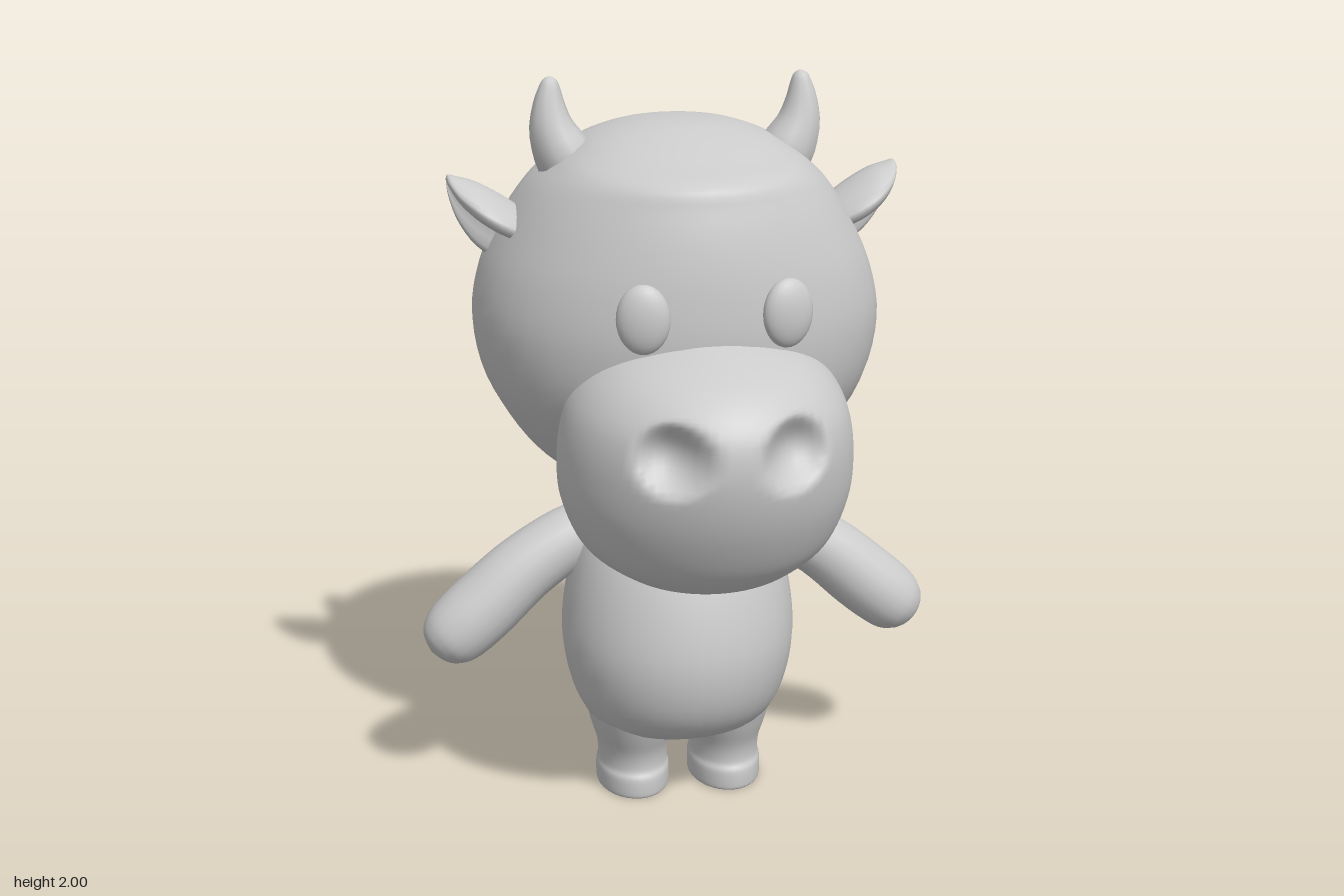
import * as THREE from 'three';

// Smoothly resample a list of equal-length number rows
function smooth(rows, count) {
  const curves = rows[0].map((_, k) =>
    new THREE.SplineCurve(rows.map((row, i) => new THREE.Vector2(i, row[k]))));
  return Array.from({ length: count + 1 }, (_, i) => curves.map((c) => c.getPoint(i / count).y));
}

// Closed skin over rings of points, with a fan at each end
function skin(rings) {
  const n = rings[0].length, pos = [], index = [];
  rings.forEach((ring) => ring.forEach((p) => pos.push(p.x, p.y, p.z)));
  for (let i = 0; i < rings.length - 1; i++) {
    for (let j = 0; j < n; j++) {
      const a = i * n + j, b = i * n + (j + 1) % n;
      index.push(a, b, b + n, a, b + n, a + n);
    }
  }
  [0, rings.length - 1].forEach((r, end) => {
    const mid = new THREE.Vector3();
    rings[r].forEach((p) => mid.addScaledVector(p, 1 / n));
    const c = pos.length / 3;
    pos.push(mid.x, mid.y, mid.z);
    for (let j = 0; j < n; j++) {
      const a = r * n + j, b = r * n + (j + 1) % n;
      if (end) index.push(a, b, c); else index.push(b, a, c);
    }
  });
  const g = new THREE.BufferGeometry();
  g.setAttribute('position', new THREE.Float32BufferAttribute(pos, 3));
  g.setIndex(index);
  g.computeVertexNormals();
  return g;
}

// Upright loft; rows are [y, half width, front z, back z, z of widest point]
function loft(rows, { cx = 0, sides = 32, steps = 30, square = 1, dent } = {}) {
  return skin(smooth(rows, steps).map(([y, w, zf, zb, zc]) =>
    Array.from({ length: sides }, (_, j) => {
      const a = (j / sides) * Math.PI * 2, c = Math.cos(a);
      const z = c > 0 ? zc + (zf - zc) * Math.pow(c, square) : zc + (zc - zb) * c;
      const p = new THREE.Vector3(cx + w * Math.sin(a), y, z);
      if (dent) dent(p);
      return p;
    })));
}

// Tapered tube; rows are [x, y, z, radius]
function limb(rows, { ref = new THREE.Vector3(0, 0, 1), sides = 16, steps = 24 } = {}) {
  const pts = smooth(rows, steps), at = (i) => new THREE.Vector3(...pts[i]);
  return skin(pts.map((row, i) => {
    const t = at(Math.min(i + 1, steps)).sub(at(Math.max(i - 1, 0))).normalize();
    const u = ref.clone().cross(t).normalize(), v = t.clone().cross(u);
    return Array.from({ length: sides }, (_, j) => {
      const a = (j / sides) * Math.PI * 2;
      return at(i).addScaledVector(u, row[3] * Math.cos(a)).addScaledVector(v, row[3] * Math.sin(a));
    });
  }));
}

// Mirror across x, keeping faces outward
function mirrored(geometry) {
  const g = geometry.clone().scale(-1, 1, 1), idx = g.index.array;
  for (let i = 0; i < idx.length; i += 3) [idx[i], idx[i + 1]] = [idx[i + 1], idx[i]];
  return g;
}

export function createModel() {
  const model = new THREE.Group();
  const material = new THREE.MeshStandardMaterial({ color: 0xcccccc, roughness: 0.8 });
  const add = (name, geometry) => {
    const mesh = new THREE.Mesh(geometry, material);
    mesh.name = name;
    model.add(mesh);
  };
  const addPair = (name, geometry) => {
    add('left' + name, geometry);
    add('right' + name, mirrored(geometry));
  };

  // Big round head with a flattened face under a brow
  add('head', loft([
    [0.895, 0.06, -0.06, -0.19, -0.13],
    [0.905, 0.18, 0.0, -0.25, -0.13],
    [0.95, 0.31, 0.1, -0.35, -0.15],
    [1.05, 0.42, 0.22, -0.49, -0.17],
    [1.2, 0.51, 0.33, -0.595, -0.18],
    [1.36, 0.543, 0.365, -0.64, -0.18],
    [1.5, 0.52, 0.365, -0.63, -0.18],
    [1.62, 0.465, 0.35, -0.585, -0.18],
    [1.72, 0.4, 0.325, -0.52, -0.17],
    [1.775, 0.345, 0.3, -0.47, -0.16],
    [1.81, 0.3, 0.2, -0.43, -0.15],
    [1.85, 0.23, 0.08, -0.36, -0.15],
    [1.88, 0.13, -0.03, -0.26, -0.16],
    [1.89, 0.03, -0.12, -0.19, -0.16],
  ], { steps: 52, sides: 40, square: 0.85 }));

  // Muzzle, pressed in at the two nostrils
  add('muzzle', loft([
    [0.752, 0.04, 0.36, 0.28, 0.32],
    [0.762, 0.13, 0.42, 0.23, 0.31],
    [0.79, 0.22, 0.475, 0.16, 0.29],
    [0.86, 0.32, 0.54, 0.05, 0.25],
    [0.98, 0.373, 0.605, -0.05, 0.23],
    [1.1, 0.38, 0.64, -0.05, 0.23],
    [1.2, 0.365, 0.64, 0.0, 0.23],
    [1.27, 0.335, 0.605, 0.05, 0.22],
    [1.325, 0.285, 0.54, 0.1, 0.22],
    [1.365, 0.22, 0.45, 0.14, 0.22],
    [1.4, 0.12, 0.35, 0.18, 0.22],
  ], {
    steps: 70, sides: 96,
    dent: (p) => {
      const d = Math.hypot((Math.abs(p.x) - 0.15) / 0.095, (p.y - 1.175) / 0.095);
      if (p.z > 0.3 && d < 1) p.z -= 0.085 * (1 - d * d) ** 1.3;
    },
  }));

  // Oval eyes
  addPair('Eye', new THREE.SphereGeometry(1, 24, 16)
    .scale(0.067, 0.088, 0.034).rotateY(0.22).translate(0.182, 1.47, 0.365));

  // Short curved horns
  addPair('Horn', limb([
    [0.25, 1.72, -0.12, 0.07],
    [0.295, 1.79, -0.12, 0.078],
    [0.327, 1.86, -0.12, 0.062],
    [0.335, 1.92, -0.12, 0.045],
    [0.333, 1.97, -0.12, 0.029],
    [0.331, 1.992, -0.12, 0.018],
    [0.33, 2.0, -0.12, 0.004],
  ], { sides: 10, steps: 18 }));

  // Cupped ears: a crescent section, in [z, y], swept outward and tapered
  const crescent = [[0.1, -0.035], [0.02, 0.0], [-0.04, -0.03], [-0.05, -0.12], [-0.085, -0.125],
    [-0.095, -0.03], [-0.05, 0.055], [0.04, 0.05], [0.115, 0.0], [0.1, -0.035]];
  const section = smooth(crescent, 28).slice(0, -1);
  const earPath = smooth([
    [0.4, 1.61, -0.11, 0.75], [0.47, 1.645, -0.11, 0.95], [0.53, 1.68, -0.115, 0.9],
    [0.575, 1.71, -0.125, 0.62], [0.598, 1.735, -0.135, 0.3], [0.604, 1.742, -0.14, 0.04],
  ], 18);
  addPair('Ear', skin(earPath.map(([x, y, z, s]) =>
    section.map(([dz, dy]) => new THREE.Vector3(x, y + dy * s, z + dz * s)))));

  // Pear-shaped body
  add('body', loft([
    [0.165, 0.12, -0.03, -0.22, -0.12],
    [0.18, 0.2, 0.04, -0.28, -0.12],
    [0.23, 0.262, 0.13, -0.365, -0.12],
    [0.32, 0.302, 0.19, -0.425, -0.12],
    [0.45, 0.325, 0.212, -0.447, -0.12],
    [0.6, 0.312, 0.187, -0.42, -0.12],
    [0.74, 0.275, 0.135, -0.36, -0.12],
    [0.84, 0.21, 0.06, -0.29, -0.12],
    [0.93, 0.13, -0.02, -0.22, -0.12],
  ], { steps: 36 }));

  // Stubby legs with a foot rim
  addPair('Leg', loft([
    [0, 0.098, 0.025, -0.253, -0.115],
    [0.01, 0.102, 0.03, -0.258, -0.115],
    [0.055, 0.102, 0.03, -0.258, -0.115],
    [0.08, 0.097, 0.018, -0.25, -0.115],
    [0.13, 0.1, 0.025, -0.25, -0.115],
    [0.2, 0.12, 0.055, -0.27, -0.115],
    [0.32, 0.145, 0.1, -0.32, -0.115],
  ], { cx: 0.133, steps: 24 }));

  // Arms ending in rounded hands
  addPair('Arm', limb([
    [0.14, 0.78, -0.16, 0.06],
    [0.27, 0.745, -0.155, 0.085],
    [0.42, 0.66, -0.14, 0.094],
    [0.54, 0.56, -0.127, 0.1],
    [0.615, 0.497, -0.12, 0.096],
    [0.655, 0.465, -0.12, 0.08],
    [0.678, 0.446, -0.12, 0.052],
    [0.69, 0.436, -0.12, 0.008],
  ], { sides: 20, steps: 35 }));

  // Thin tail with a tuft
  const tailOpts = { ref: new THREE.Vector3(1, 0, 0), sides: 12, steps: 20 };
  add('tail', limb([
    [0, 0.25, -0.33, 0.013], [0, 0.21, -0.375, 0.013], [0, 0.188, -0.43, 0.012],
    [0, 0.186, -0.49, 0.012], [0, 0.2, -0.54, 0.012],
  ], tailOpts));
  add('tailTuft', limb([
    [0, 0.194, -0.505, 0.006], [0, 0.202, -0.525, 0.027], [0, 0.211, -0.55, 0.037],
    [0, 0.221, -0.575, 0.033], [0, 0.229, -0.592, 0.02], [0, 0.232, -0.599, 0.003],
  ], tailOpts));

  return model;
}
